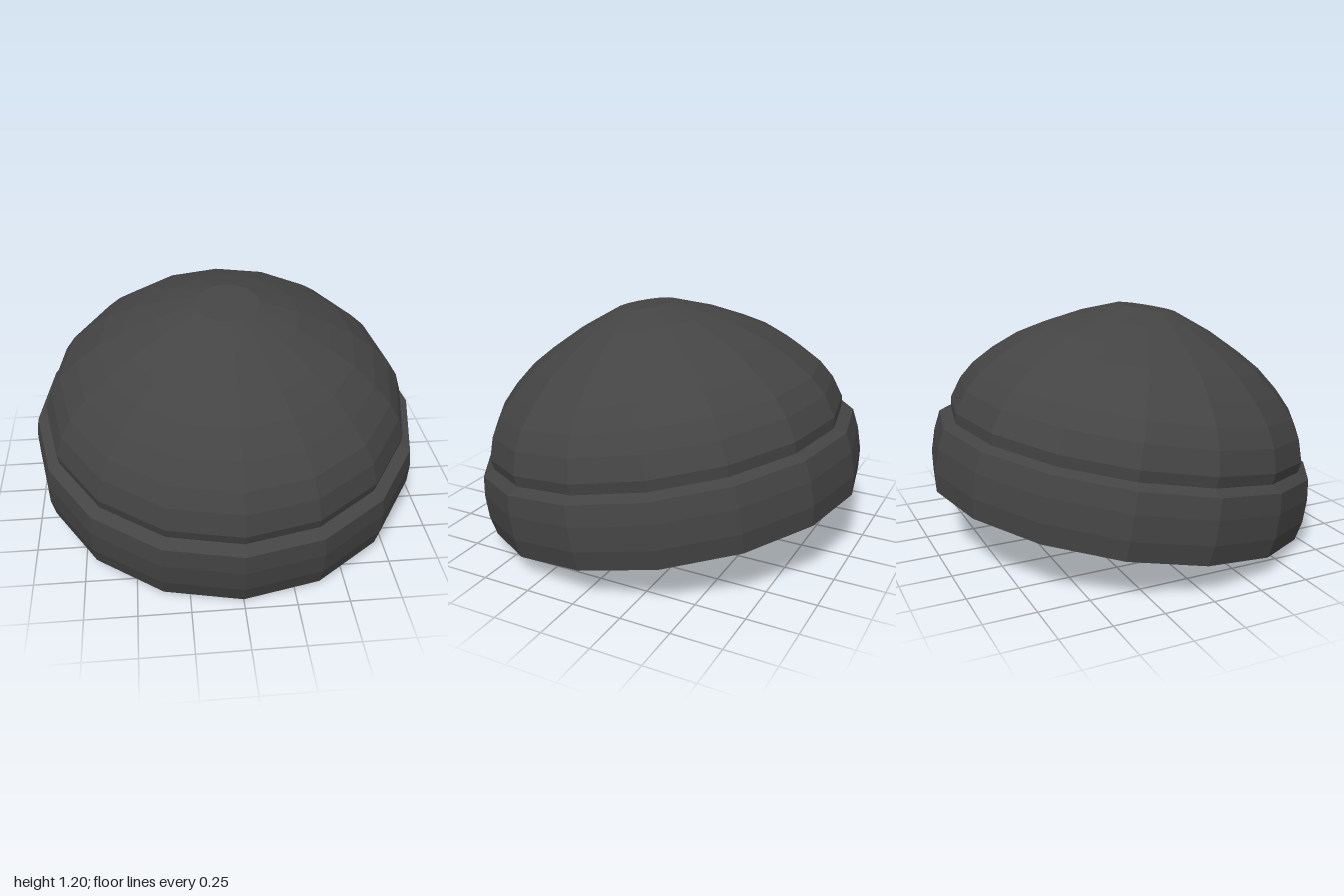
import * as THREE from 'three';

const SIDES = 16;
const TILT = THREE.MathUtils.degToRad(10);

// Faceted ring body turned from [radius, height] pairs, listed bottom to top
function turned(name, profile, material) {
  const points = profile.map(([r, y]) => new THREE.Vector2(r, y));
  const mesh = new THREE.Mesh(new THREE.LatheGeometry(points, SIDES), material);
  mesh.name = name;
  return mesh;
}

export function createModel() {
  const knit = new THREE.MeshStandardMaterial({ color: 0x444444, flatShading: true });

  // Folded brim with a closed underside and a narrow sloping ledge on top
  const brim = turned('brim', [
    [0, 0], [0.98, 0], [1.0, 0.1], [1.0, 0.22], [0.985, 0.32], [0.925, 0.345],
  ], knit);

  // Rounded crown ending in a small flat cap
  const crown = turned('crown', [
    [0.925, 0.335], [0.935, 0.4], [0.9, 0.51], [0.845, 0.6], [0.755, 0.695],
    [0.64, 0.79], [0.52, 0.86], [0.35, 0.945], [0.155, 1.018], [0, 1.02],
  ], knit);

  // The whole cap leans forward so the front of the brim touches the ground
  const cap = new THREE.Group();
  cap.name = 'beanie';
  cap.add(brim, crown);
  cap.rotation.x = TILT;
  cap.position.set(0, 0.98 * Math.sin(TILT), -0.025);

  const model = new THREE.Group();
  model.name = 'knitCap';
  model.add(cap);
  return model;
}
